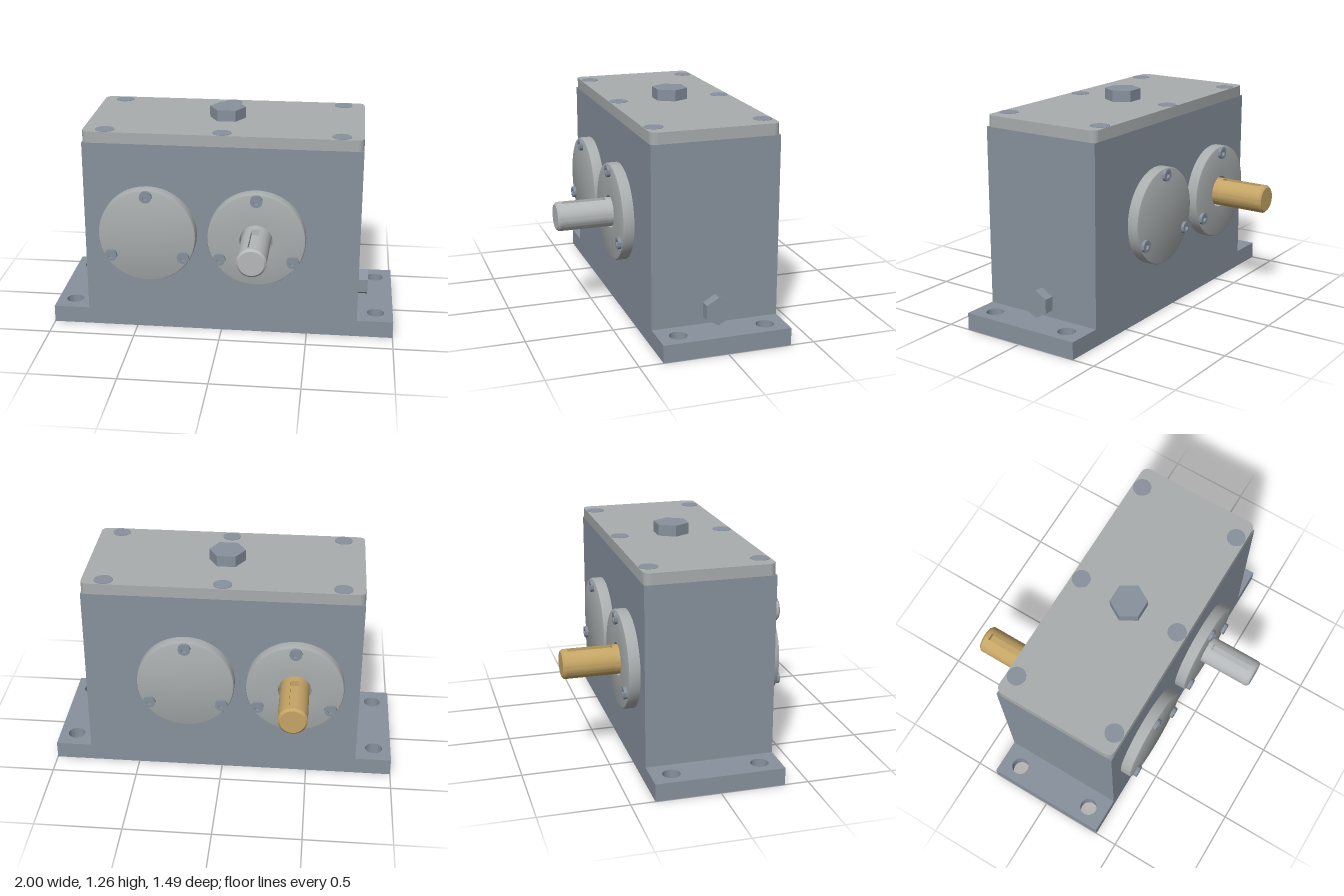
import * as THREE from 'three';
import { toCreasedNormals } from 'three/addons/utils/BufferGeometryUtils.js';

const paint = (name, color) => {
  const m = new THREE.MeshStandardMaterial({ color });
  m.name = name;
  return m;
};

export function createModel() {
  const blueGrey = paint('blue grey housing', 0x87919d);
  const lightGrey = paint('light grey covers', 0xa9adae);
  const steel = paint('steel', 0xb5b8ba);
  const brass = paint('brass', 0xc5a566);

  const root = new THREE.Group();
  root.name = 'gearbox';

  const add = (parent, name, geometry, material, x = 0, y = 0, z = 0) => {
    const mesh = new THREE.Mesh(toCreasedNormals(geometry, 0.5), material);
    mesh.name = name;
    mesh.position.set(x, y, z);
    parent.add(mesh);
    return mesh;
  };
  const extrude = (shape, depth) =>
    new THREE.ExtrudeGeometry(shape, { depth, bevelEnabled: false, curveSegments: 24 });
  // Turned part whose axis runs along z
  const turned = (points) =>
    new THREE.LatheGeometry(points.map(([r, h]) => new THREE.Vector2(r, h)), 64).rotateX(Math.PI / 2);

  const W = 0.79, D = 0.365, FACE = 0.43, AXIS = 0.603;

  // Foot plate with four mounting holes
  const foot = new THREE.Shape([[-1, -D], [1, -D], [1, D], [-1, D]].map(([x, y]) => new THREE.Vector2(x, y)));
  for (const x of [-0.9, 0.9]) for (const z of [-0.25, 0.25]) {
    foot.holes.push(new THREE.Path().absarc(x, z, 0.05, 0, Math.PI * 2, true));
  }
  add(root, 'footPlate', extrude(foot, 0.1).rotateX(-Math.PI / 2), blueGrey);

  // Housing
  add(root, 'housing', new THREE.BoxGeometry(2 * W, 1.03, 2 * D), blueGrey, 0, 0.615, 0);

  // Lid with rounded corners
  const c = 0.04, lid = new THREE.Shape();
  lid.absarc(W - c, D - c, c, 0, Math.PI / 2);
  lid.absarc(c - W, D - c, c, Math.PI / 2, Math.PI);
  lid.absarc(c - W, c - D, c, Math.PI, Math.PI * 1.5);
  lid.absarc(W - c, c - D, c, Math.PI * 1.5, Math.PI * 2);
  add(root, 'lid', extrude(lid, 0.065).rotateX(-Math.PI / 2), lightGrey, 0, 1.13, 0);

  // Flush lid screws
  for (const x of [-0.665, 0, 0.665]) for (const z of [-0.309, 0.309]) {
    add(root, 'lidScrew', new THREE.CylinderGeometry(0.053, 0.053, 0.006, 32), blueGrey, x, 1.194, z);
  }

  // Hexagonal filler plug on top and drain plug on the side
  const hex = (r, h) => new THREE.CylinderGeometry(r, r, h, 6).rotateY(Math.PI / 2);
  add(root, 'fillerPlug', hex(0.105, 0.065), blueGrey, 0, 1.2275, 0);
  add(root, 'drainPlug', hex(0.081, 0.06).rotateZ(-Math.PI / 2), blueGrey, W + 0.03, 0.185, 0);

  // Round bearing cover, with a bore when a shaft passes through
  const coverGeometry = (bore) => {
    const t = FACE - D;
    const rim = [[0.28, 0], [0.28, t - 0.012], [0.2765, t - 0.0035], [0.268, t]];
    return turned(bore ? [...rim, [0.094, t], [0.094, 0]] : [...rim, [0, t]]);
  };

  // Socket head: a ring with a hexagonal recess
  const head = new THREE.Shape().absarc(0, 0, 0.035, 0, Math.PI * 2);
  const socket = [];
  for (let i = 0; i < 6; i++) {
    const a = -i * Math.PI / 3;
    socket.push(new THREE.Vector2(0.019 * Math.cos(a), 0.019 * Math.sin(a)));
  }
  head.holes.push(new THREE.Path(socket));

  const addCover = (parent, x, bore) => {
    const cover = new THREE.Group();
    cover.name = bore ? 'shaftCover' : 'blindCover';
    cover.position.set(x, AXIS, D);
    parent.add(cover);
    add(cover, 'coverDisc', coverGeometry(bore), lightGrey);
    for (let i = 0; i < 3; i++) {
      const a = Math.PI / 2 + i * Math.PI * 2 / 3;
      const px = 0.241 * Math.cos(a), py = 0.241 * Math.sin(a);
      add(cover, 'coverScrew', extrude(head, 0.018), blueGrey, px, py, FACE - D);
      add(cover, 'screwSocketFloor', new THREE.CircleGeometry(0.022, 6), blueGrey, px, py, FACE - D + 0.003);
    }
  };

  // Shaft: plain root, length with a keyway cut in its top, chamfered tip
  const addShaft = (parent, x, material) => {
    const shaft = new THREE.Group();
    shaft.name = 'shaft';
    shaft.position.set(x, AXIS, 0);
    parent.add(shaft);
    const r = 0.083, w = 0.023, a = Math.asin(w / r), z0 = 0.46, z1 = 0.71, end = 0.747;
    add(shaft, 'shaftRoot', turned([[r, D], [r, z0], [0, z0]]), material);
    const slot = new THREE.Shape();
    slot.absarc(0, 0, r, Math.PI / 2 + a, Math.PI * 2.5 - a);
    slot.lineTo(w, r - 0.035);
    slot.lineTo(-w, r - 0.035);
    add(shaft, 'shaftKeyway', extrude(slot, z1 - z0), material, 0, 0, z0);
    add(shaft, 'shaftTip', turned([[0, z1], [r, z1], [r, end - 0.012], [r - 0.012, end], [0, end]]), material);
  };

  // Front and back sets; the back one is turned half round
  const addSide = (name, turn, shaftX, blindX, material) => {
    const side = new THREE.Group();
    side.name = name;
    side.rotation.y = turn;
    root.add(side);
    addCover(side, shaftX, true);
    addCover(side, blindX, false);
    addShaft(side, shaftX, material);
  };
  addSide('frontSide', 0, 0.205, -0.42, steel);
  addSide('backSide', Math.PI, 0.42, -0.205, brass);

  return root;
}
